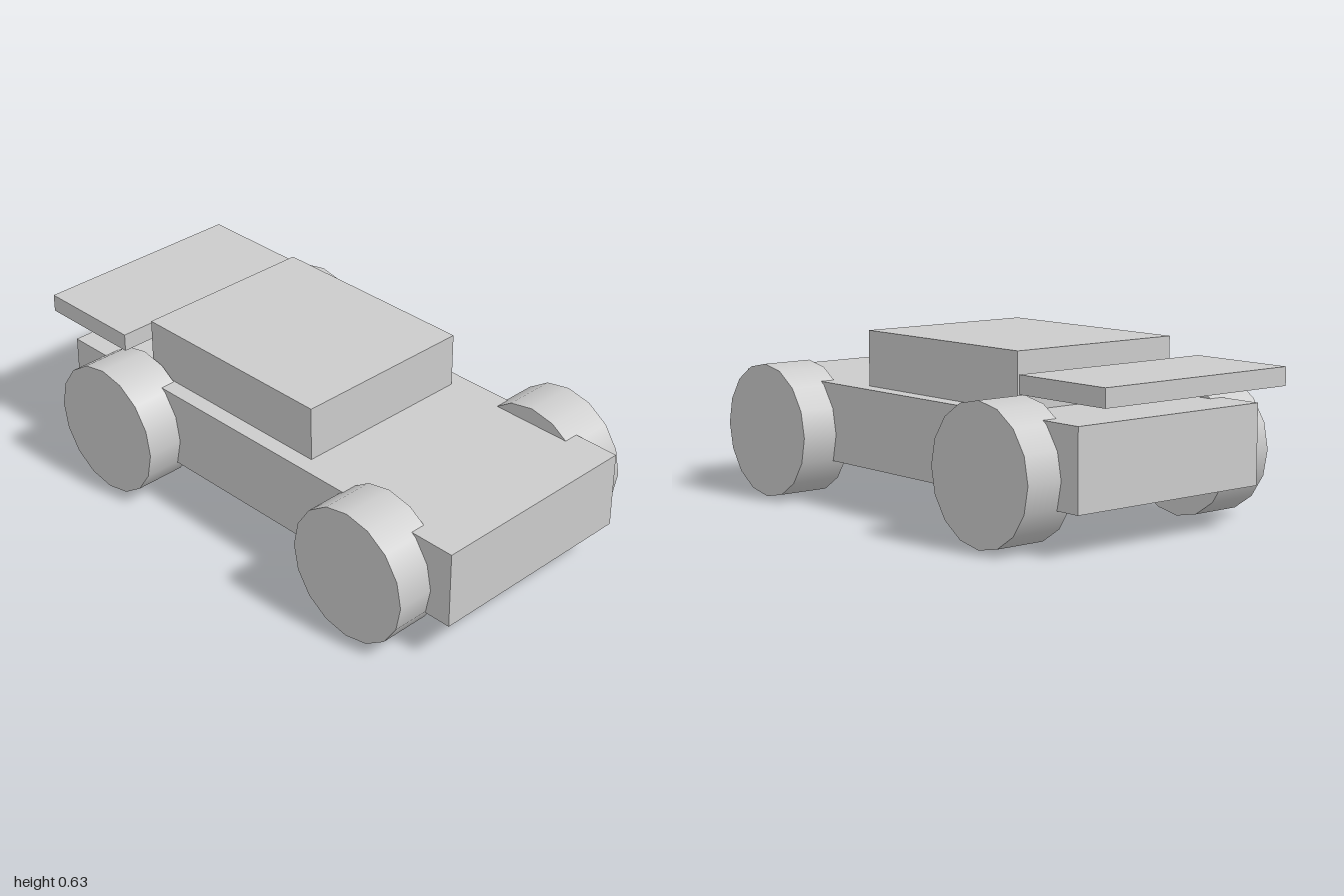
import * as THREE from 'three';

export function createModel() {
  const car = new THREE.Group();
  car.name = 'car';
  const material = new THREE.MeshStandardMaterial({ color: 0xcccccc });

  // Box given by its x range, y range and full depth, centred on z = 0
  function addBox(name, x0, x1, y0, y1, depth) {
    const mesh = new THREE.Mesh(new THREE.BoxGeometry(x1 - x0, y1 - y0, depth), material);
    mesh.name = name;
    mesh.position.set((x0 + x1) / 2, (y0 + y1) / 2, 0);
    car.add(mesh);
  }

  addBox('body', -0.877, 1, 0.146, 0.43, 0.816);
  addBox('cabin', -0.513, 0.303, 0.43, 0.63, 0.694);
  addBox('spoiler', -1, -0.592, 0.5, 0.565, 0.816);

  // Four wheels, partly sunk into the body sides
  const radius = 0.245, width = 0.195;
  const wheelGeometry = new THREE.CylinderGeometry(radius, radius, width, 16);
  wheelGeometry.rotateX(Math.PI / 2);
  for (const [end, x] of [['rear', -0.553], ['front', 0.671]]) {
    for (const [side, sign] of [['Right', 1], ['Left', -1]]) {
      const wheel = new THREE.Mesh(wheelGeometry, material);
      wheel.name = `${end}Wheel${side}`;
      wheel.position.set(x, radius, sign * 0.449);
      car.add(wheel);
    }
  }
  return car;
}
